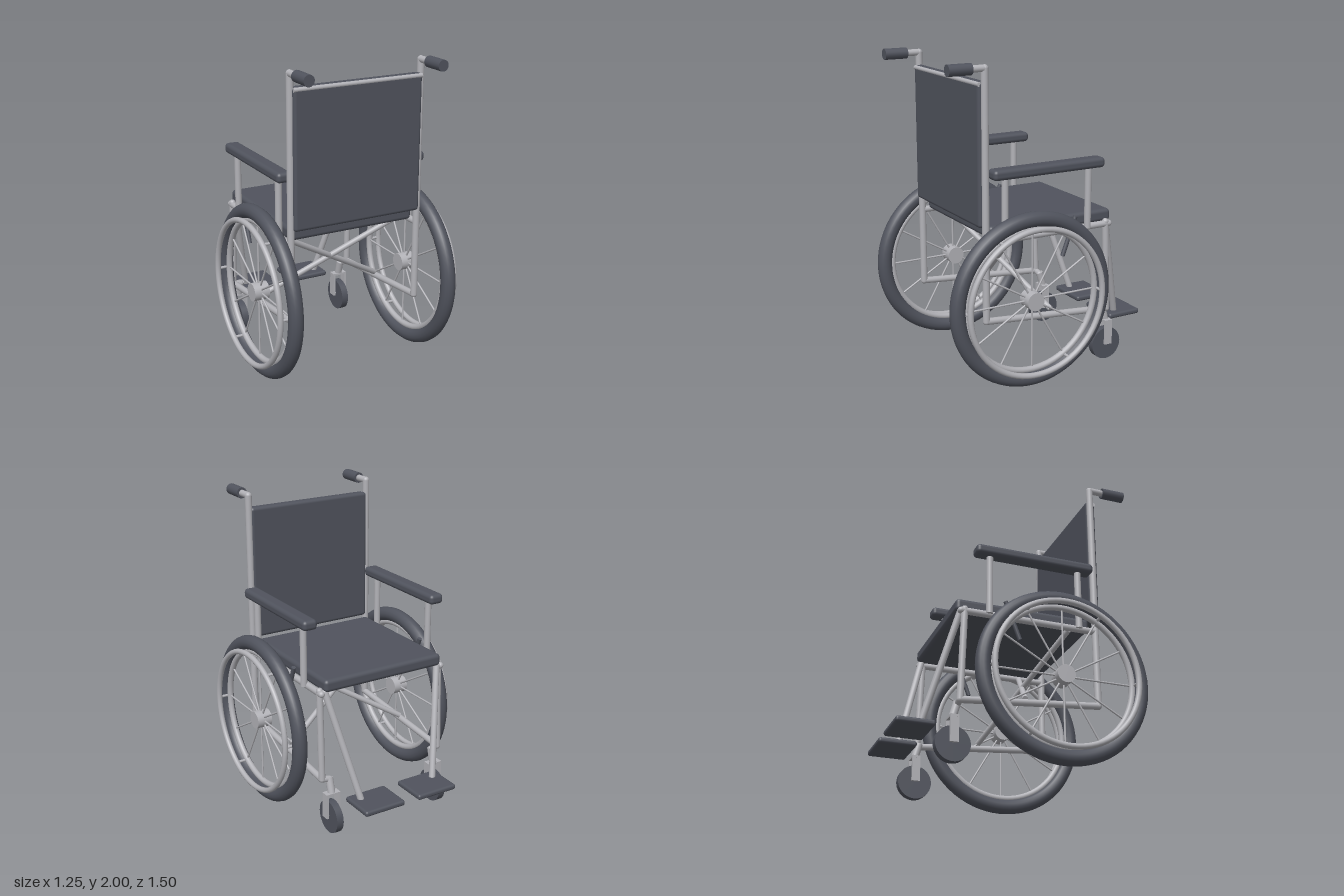
import * as THREE from 'three';
import { RoundedBoxGeometry } from 'three/addons/geometries/RoundedBoxGeometry.js';

export function createModel() {
  const model = new THREE.Group();
  model.name = 'wheelchair';

  const dark = new THREE.MeshStandardMaterial({ color: 0x50535d });
  dark.name = 'dark rubber and fabric';
  const metal = new THREE.MeshStandardMaterial({ color: 0xb2b2b7 });
  metal.name = 'grey metal';

  const add = (parent, name, geometry, material, x = 0, y = 0, z = 0) => {
    const mesh = new THREE.Mesh(geometry, material);
    mesh.name = name;
    mesh.position.set(x, y, z);
    parent.add(mesh);
    return mesh;
  };

  // straight rod between two points, optionally with rounded ends
  const rod = (parent, name, a, b, r, material = metal, round = false) => {
    const p = new THREE.Vector3(...a), q = new THREE.Vector3(...b);
    const dir = q.clone().sub(p), len = dir.length();
    const geo = round ? new THREE.CapsuleGeometry(r, len, 6, 16) : new THREE.CylinderGeometry(r, r, len, 16);
    const mesh = add(parent, name, geo, material);
    mesh.position.copy(p).add(q).multiplyScalar(0.5);
    mesh.quaternion.setFromUnitVectors(new THREE.Vector3(0, 1, 0), dir.normalize());
    return mesh;
  };

  const pad = (parent, name, w, h, d, r, x, y, z) =>
    add(parent, name, new RoundedBoxGeometry(w, h, d, 4, r), dark, x, y, z);

  // ring lying in the y-z plane
  const ring = (parent, name, R, r, material, x = 0) => {
    const geo = new THREE.TorusGeometry(R, r, 14, 72);
    geo.rotateY(Math.PI / 2);
    return add(parent, name, geo, material, x);
  };

  // seat, backrest and its top bar
  pad(model, 'seat', 0.85, 0.08, 0.865, 0.025, 0, 0.98, -0.003);
  pad(model, 'backrest', 0.865, 0.865, 0.064, 0.022, 0, 1.453, 0.471);
  rod(model, 'backrestBar', [-0.43, 1.869, 0.492], [0.43, 1.869, 0.492], 0.014);

  for (const s of [1, -1]) {
    const side = new THREE.Group();
    side.name = s > 0 ? 'leftSide' : 'rightSide';
    model.add(side);
    const X = 0.438 * s;

    // frame tubes
    rod(side, 'backPost', [X, 0.44, 0.463], [X, 1.962, 0.463], 0.022, metal, true);
    rod(side, 'seatRail', [X, 0.932, 0.463], [X, 0.932, -0.41], 0.021, metal, true);
    rod(side, 'lowerRail', [X, 0.44, 0.463], [X, 0.365, -0.405], 0.021, metal, true);
    rod(side, 'frontPost', [X, 0.945, -0.387], [X, 0.365, -0.407], 0.021, metal, true);
    rod(side, 'crossBrace', [0.42 * s, 0.925, 0.29], [-0.42 * s, 0.43, 0], 0.018);

    // push handle
    rod(side, 'handleTube', [X, 1.962, 0.463], [X, 1.962, 0.56], 0.021);
    rod(side, 'handleGrip', [X, 1.962, 0.55], [X, 1.962, 0.7], 0.035, dark);

    // armrest
    pad(side, 'armrest', 0.098, 0.064, 0.772, 0.024, 0.459 * s, 1.343, 0.052);
    for (const z of [0.345, -0.238])
      rod(side, 'armrestPost', [0.459 * s, 0.93, z], [0.459 * s, 1.33, z], 0.021);

    // brake lever
    rod(side, 'brakeLever', [0.472 * s, 1.02, -0.14], [0.472 * s, 0.78, -0.05], 0.014, dark);

    // leg support and footplate
    rod(side, 'legTube', [0.412 * s, 0.94, -0.405], [0.27 * s, 0.265, -0.585], 0.021, metal, true);
    pad(side, 'footplate', 0.285, 0.036, 0.238, 0.015, 0.193 * s, 0.247, -0.631);

    // caster: stem, fork and small wheel
    const cx = 0.387 * s, cz = -0.434;
    rod(side, 'casterStem', [cx, 0.365, -0.407], [cx, 0.27, cz], 0.024);
    rod(side, 'casterBracket', [X, 0.365, -0.407], [cx, 0.355, -0.407], 0.02, metal, true);
    add(side, 'forkBridge', new THREE.BoxGeometry(0.1, 0.014, 0.052), metal, cx, 0.268, cz);
    for (const o of [-0.042, 0.042])
      add(side, 'forkPlate', new THREE.BoxGeometry(0.015, 0.165, 0.052), metal, cx + o, 0.192, cz);
    rod(side, 'casterWheel', [cx - 0.023, 0.108, cz], [cx + 0.023, 0.108, cz], 0.106, dark)
      .geometry = new THREE.CylinderGeometry(0.106, 0.106, 0.046, 40);
    rod(side, 'casterAxle', [cx - 0.045, 0.12, cz], [cx + 0.045, 0.12, cz], 0.01);

    // large wheel
    const wheel = new THREE.Group();
    wheel.name = 'largeWheel';
    wheel.position.set(0.531 * s, 0.56, 0.2);
    side.add(wheel);
    ring(wheel, 'tire', 0.503, 0.047, dark);
    ring(wheel, 'rim', 0.448, 0.02, metal);
    ring(wheel, 'handRim', 0.457, 0.018, metal, 0.077 * s);
    rod(wheel, 'hub', [-0.05, 0, 0], [0.05, 0, 0], 0.057)
      .geometry = new THREE.CylinderGeometry(0.057, 0.057, 0.1, 32);
    for (let i = 0; i < 12; i++) {
      const a = i * Math.PI / 6, c = Math.cos(a), d = Math.sin(a);
      rod(wheel, 'spoke', [0, d * 0.04, c * 0.04], [0, d * 0.45, c * 0.45], 0.006);
      if (i % 2 === 0)
        rod(wheel, 'handRimMount', [0, d * 0.457, c * 0.457], [0.077 * s, d * 0.457, c * 0.457], 0.009);
    }
  }
  return model;
}
